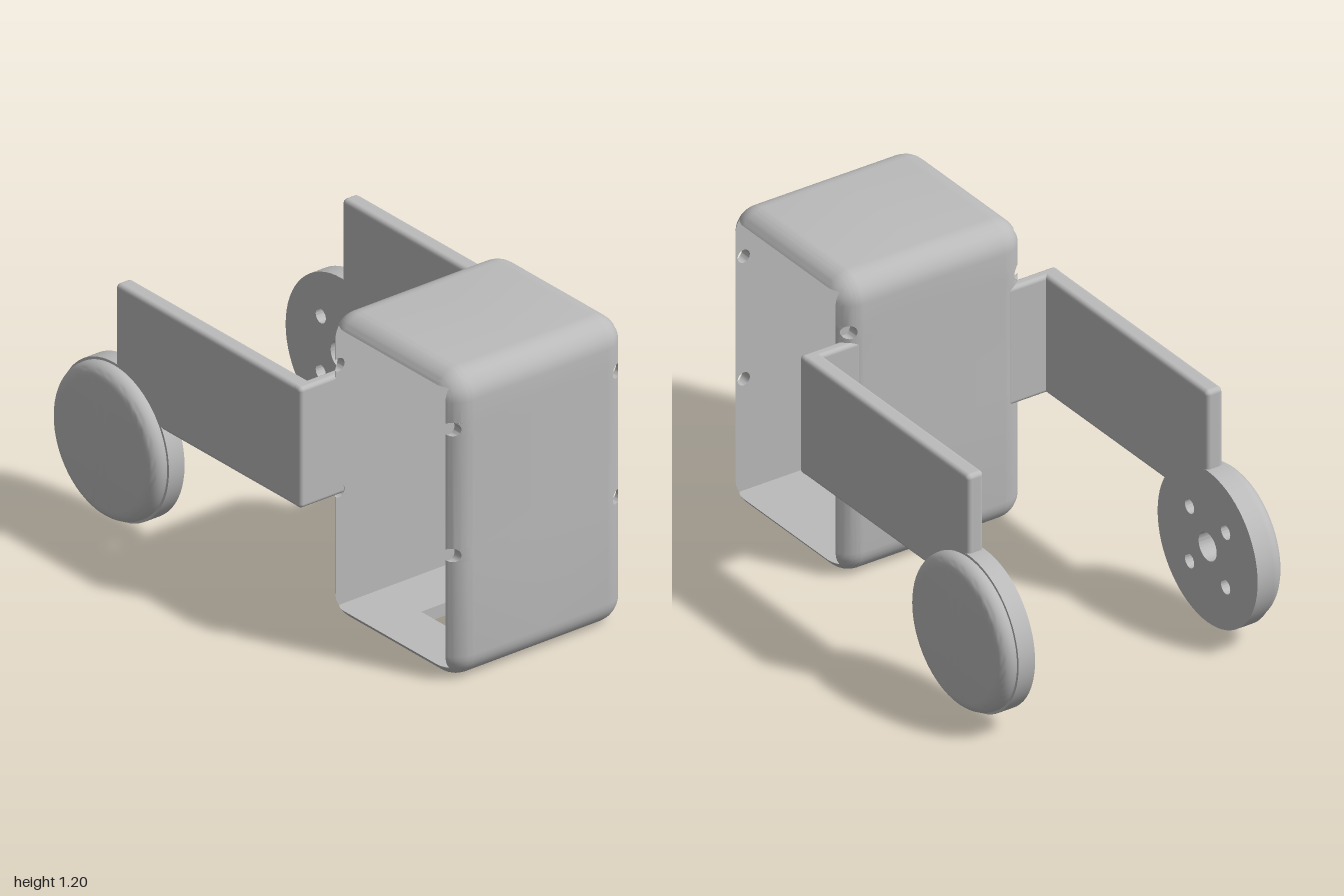
import * as THREE from 'three';
import { toCreasedNormals } from 'three/addons/utils/BufferGeometryUtils.js';
import { RoundedBoxGeometry } from 'three/addons/geometries/RoundedBoxGeometry.js';

const grey = new THREE.MeshStandardMaterial({ color: 0xbbbbbb });
grey.name = 'plainGrey';

const R = 0.1;        // housing fillet radius
const WALL = 0.05;    // housing wall thickness
const ZF = 0.3;       // depth where the end fillet begins
const HOLE = 0.026;   // screw hole radius
const SCREW_Y = [0.5, 0.995];

// Columns around the housing outline, anticlockwise seen from the front
function outline() {
  const cols = [];
  const add = (cx, cy, a, h = 0, zFront = 0, zBack = 0) =>
    cols.push({ cx, cy, nx: Math.cos(a), ny: Math.sin(a), h, z0: { 1: zFront, '-1': zBack } });
  const corner = (cx, cy, a0) => {
    for (let k = 0; k <= 8; k++) add(cx, cy, a0 + (k * Math.PI) / 16);
  };
  const side = (cx, a, up) => {
    const pts = [];
    for (const y of SCREW_Y) for (let k = 0; k <= 14; k++) {
      const t = (Math.PI * k) / 14;
      pts.push([y - HOLE * Math.cos(t), k % 14 ? HOLE * Math.sin(t) : 0]);
    }
    if (!up) pts.reverse();
    pts.forEach(([y, h]) => add(cx, y, a, h));
  };
  side(0.9, 0, true);
  corner(0.9, 1.1, 0);
  corner(0.39, 1.1, Math.PI / 2);
  side(0.39, Math.PI, false);
  corner(0.39, 0.1, Math.PI);
  // rectangular floor opening
  for (const [x, f, b] of [[0.56, 0, 0], [0.56, 0.18, 0.03], [0.81, 0.18, 0.03], [0.81, 0, 0]])
    add(x, 0.1, -Math.PI / 2, 0, f, b);
  corner(0.9, 0.1, -Math.PI / 2);
  return cols;
}

// Rounded shell, open at both ends, with screw holes and a floor opening
function housingGeometry() {
  const cols = outline(), pos = [];
  const ab = new THREE.Vector3(), ac = new THREE.Vector3();
  const tri = (a, b, c) => {
    if (ab.subVectors(b, a).cross(ac.subVectors(c, a)).length() < 1e-9) return;
    for (const p of [a, b, c]) pos.push(p.x, p.y, p.z);
  };
  const quad = (a, b, c, d, flip) => {
    if (flip) [b, d] = [d, b];
    tri(a, b, c);
    tri(a, c, d);
  };
  const phi = z => Math.asin(Math.min(1, (z - ZF) / R));

  for (const s of [1, -1]) {
    const zc = s > 0 ? 0.372 : 0.352;
    const lines = cols.map(c => {
      const inner = WALL / Math.max(Math.abs(c.nx), Math.abs(c.ny));
      const at = (rad, z) => new THREE.Vector3(c.cx + c.nx * rad, c.cy + c.ny * rad, s * z);
      const arc = f => at(R * Math.cos(f), ZF + R * Math.sin(f));
      const zEnd = ZF + Math.sqrt(R * R - inner * inner);
      const zA = Math.min(zc - c.h, zEnd), zB = Math.min(zc + c.h, zEnd);
      const z0 = c.z0[s], outA = [at(R, z0)], outB = [];
      for (let k = 0; k <= 8; k++) outA.push(arc((phi(zA) * k) / 8));
      for (let k = 0; k <= 4; k++) outB.push(arc(phi(zB) + ((phi(zEnd) - phi(zB)) * k) / 4));
      return {
        h: c.h, z0, outA, outB,
        inA: [at(inner, z0), at(inner, zA)],
        inB: [at(inner, zB), at(inner, zEnd)],
      };
    });
    lines.forEach((p, i) => {
      const q = lines[(i + 1) % lines.length], back = s < 0;
      const strip = (a, b, flip) => {
        for (let k = 0; k + 1 < a.length; k++) quad(a[k], b[k], b[k + 1], a[k + 1], flip);
      };
      strip(p.outA, q.outA, back);
      strip(p.outB, q.outB, back);
      strip(p.inA, q.inA, !back);
      strip(p.inB, q.inB, !back);
      if (p.h || q.h) {
        quad(p.inA[1], p.outA[9], q.outA[9], q.inA[1], back);
        quad(p.inB[0], p.outB[0], q.outB[0], q.inB[0], !back);
      }
      if (p.z0 || q.z0) quad(p.inA[0], p.outA[0], q.outA[0], q.inA[0], !back);
    });
  }
  const g = new THREE.BufferGeometry();
  g.setAttribute('position', new THREE.Float32BufferAttribute(pos, 3));
  return toCreasedNormals(g, 0.5);
}

// Flat mounting disc with a hub hole and four bolt holes
function discGeometry() {
  const shape = new THREE.Shape().absarc(0, 0, 0.305, 0, Math.PI * 2);
  const drill = (x, y, r) => shape.holes.push(new THREE.Path().absarc(x, y, r, 0, Math.PI * 2, true));
  drill(0, 0, 0.055);
  for (const x of [-0.11, 0.11]) for (const y of [-0.11, 0.11]) drill(x, y, 0.028);
  const g = new THREE.ExtrudeGeometry(shape, { depth: 0.07, bevelEnabled: false, curveSegments: 32 });
  return toCreasedNormals(g.translate(0, 0, -0.035), 0.6);
}

// Wheel cover with a rounded outer rim
function coverGeometry() {
  const r = 0.295, h = 0.058, f = 0.05;
  const pts = [new THREE.Vector2(0, 0), new THREE.Vector2(r, 0)];
  for (let k = 0; k <= 8; k++) {
    const a = (k * Math.PI) / 16;
    pts.push(new THREE.Vector2(r - f + f * Math.cos(a), h - f + f * Math.sin(a)));
  }
  pts.push(new THREE.Vector2(0, h));
  return toCreasedNormals(new THREE.LatheGeometry(pts, 64), 0.6);
}

export function createModel() {
  const model = new THREE.Group();
  model.name = 'wheeledHousing';
  const add = (parent, name, geometry, x, y, z) => {
    const m = new THREE.Mesh(geometry, grey);
    m.name = name;
    m.position.set(x, y, z);
    parent.add(m);
    return m;
  };
  add(model, 'housing', housingGeometry(), 0, 0, 0);

  // Arm, flange and wheel on each side
  const plate = new RoundedBoxGeometry(1.028, 0.475, 0.07, 4, 0.018);
  const flange = new RoundedBoxGeometry(0.046, 0.475, 0.235, 4, 0.016);
  const disc = discGeometry(), cover = coverGeometry();
  for (const s of [1, -1]) {
    const side = new THREE.Group();
    side.name = s > 0 ? 'frontArm' : 'backArm';
    add(side, 'armPlate', plate, -0.176, 0.717, s * 0.508);
    add(side, 'armFlange', flange, 0.315, 0.717, s * 0.4255);
    add(side, 'mountingDisc', disc, -0.695, 0.335, s * 0.508);
    add(side, 'wheelCover', cover, -0.695, 0.335, s * 0.543).rotation.x = (s * Math.PI) / 2;
    model.add(side);
  }
  return model;
}
